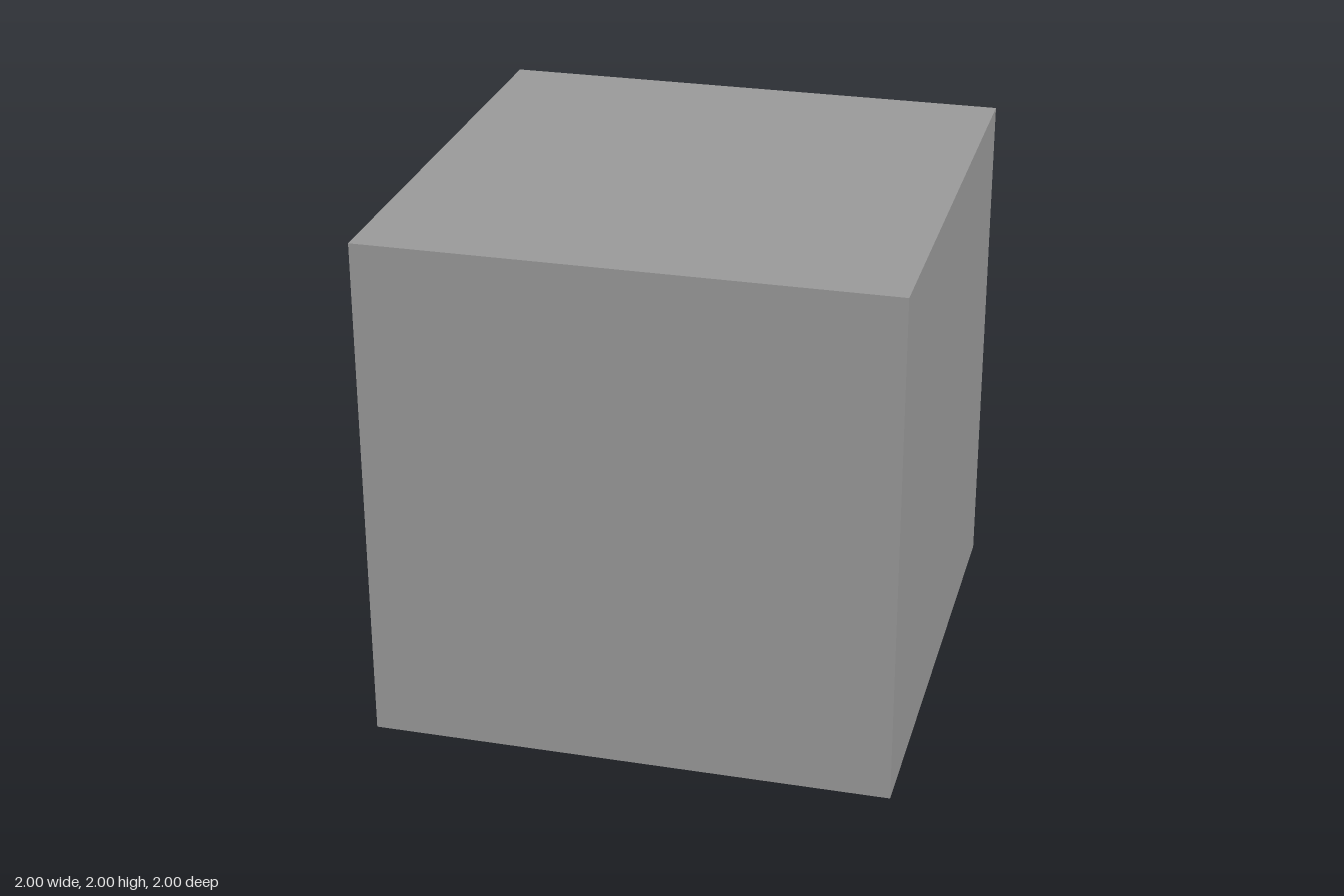
import * as THREE from 'three';

const WALL = 0.107;   // panel thickness
const INNER = 1 - WALL;
const OPENING = 0.786; // half size of the opening on the -x side

// Square ring, hollow along x, running from x0 to x1
function squareRing(outer, hole, x0, x1) {
  const square = (path, r) => path.moveTo(-r, -r).lineTo(r, -r).lineTo(r, r).lineTo(-r, r).closePath();
  const shape = square(new THREE.Shape(), outer);
  shape.holes.push(square(new THREE.Path(), hole));
  const g = new THREE.ExtrudeGeometry(shape, { depth: x1 - x0, bevelEnabled: false });
  return g.rotateY(Math.PI / 2).translate(x0, 1, 0);
}

// Box given by its limits on each axis
function boxBetween(x0, x1, y0, y1, z0, z1) {
  return new THREE.BoxGeometry(x1 - x0, y1 - y0, z1 - z0)
    .translate((x0 + x1) / 2, (y0 + y1) / 2, (z0 + z1) / 2);
}

export function createModel() {
  const group = new THREE.Group();
  group.name = 'cabinet';
  const grey = new THREE.MeshStandardMaterial({ color: 0x999999 });
  grey.name = 'grey';

  const add = (name, geometry) => {
    const mesh = new THREE.Mesh(geometry, grey);
    mesh.name = name;
    group.add(mesh);
  };

  // Top, bottom and both side walls in one piece
  add('walls', squareRing(1, INNER, -INNER, INNER));
  // Closed panel opposite the opening
  add('backPanel', boxBetween(INNER, 1, 0, 2, -1, 1));
  // Frame that narrows the opening
  add('openingFrame', squareRing(1, OPENING, -1, -INNER));
  // Shelf set back from the opening
  add('shelf', boxBetween(-0.515, INNER, 0.85, 0.95, -INNER, INNER));

  return group;
}
